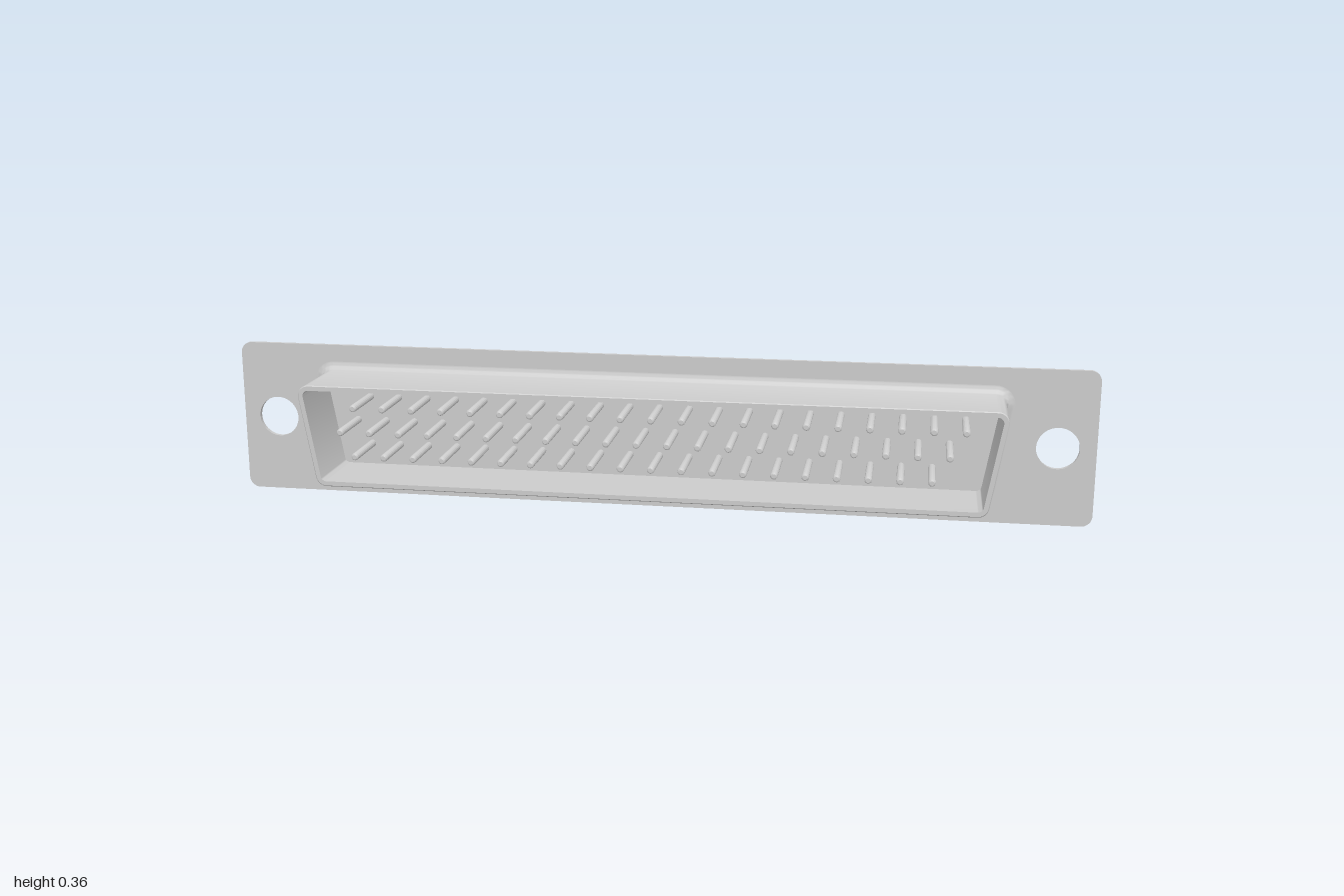
import * as THREE from 'three';
import { toCreasedNormals } from 'three/addons/utils/BufferGeometryUtils.js';

const metal = new THREE.MeshStandardMaterial({ color: 0xcccccc });

// Outline around four corner centres, rounded by r; counter-clockwise seen from the front.
function outline({ top, bottom, y0, y1 }, r, steps = 10) {
  const tilt = Math.atan2(top - bottom, y1 - y0);
  const H = Math.PI / 2;
  const corners = [
    [top, y1, -tilt, H], [-top, y1, H, Math.PI + tilt],
    [-bottom, y0, Math.PI + tilt, 3 * H], [bottom, y0, 3 * H, 4 * H - tilt],
  ];
  const points = [];
  for (const [x, y, a0, a1] of corners) {
    for (let i = 0; i <= steps; i++) {
      const a = a0 + (a1 - a0) * i / steps;
      points.push(new THREE.Vector2(x + r * Math.cos(a), y + r * Math.sin(a)));
    }
  }
  return points;
}

// Skin through outlines given as [corner radius, z].
function loft(frame, profile) {
  const rings = profile.map(([r, z]) => outline(frame, r).map((p) => [p.x, p.y, z]));
  const n = rings[0].length, index = [];
  for (let k = 0; k < rings.length - 1; k++) {
    for (let i = 0; i < n; i++) {
      const a = k * n + i, b = k * n + (i + 1) % n;
      index.push(a, b, b + n, a, b + n, a + n);
    }
  }
  const g = new THREE.BufferGeometry();
  g.setAttribute('position', new THREE.Float32BufferAttribute(rings.flat(2), 3));
  g.setIndex(index);
  return toCreasedNormals(g, 0.6);
}

function arc(cr, cz, radius, a0, a1, steps = 8) {
  return Array.from({ length: steps + 1 }, (_, i) => {
    const a = a0 + (a1 - a0) * i / steps;
    return [cr + radius * Math.cos(a), cz + radius * Math.sin(a)];
  });
}

function slab(shape, z0, z1) {
  const g = new THREE.ExtrudeGeometry(shape, { depth: z1 - z0, bevelEnabled: false, curveSegments: 32 });
  return toCreasedNormals(g.translate(0, 0, z0), 0.6);
}

export function createModel() {
  const model = new THREE.Group();
  const add = (name, geometry, parent = model) => {
    const mesh = new THREE.Mesh(geometry, metal);
    mesh.name = name;
    parent.add(mesh);
    return mesh;
  };
  const H = Math.PI / 2;

  // Mounting flange with two screw holes
  const plate = new THREE.Shape(outline({ top: 0.975, bottom: 0.975, y0: 0.025, y1: 0.335 }, 0.025));
  for (const side of [-1, 1]) {
    plate.holes.push(new THREE.Path().absarc(side * 0.915, 0.18, 0.048, 0, Math.PI * 2, true));
  }
  add('mountingFlange', slab(plate, 0.03, 0.04));

  // Front shell: tapered tube with a flared foot and a thin rim
  const shellFrame = { top: 0.772, bottom: 0.739, y0: 0.0875, y1: 0.275 };
  add('frontShell', loft(shellFrame, [
    ...arc(0.045, 0.06, 0.02, 3 * H, 2 * H), [0.025, 0.208], [0.023, 0.21],
    [0.013, 0.21], [0.013, 0.04],
  ]));
  add('pinInsulator', slab(new THREE.Shape(outline(shellFrame, 0.0135)), 0.035, 0.046));

  // Rear housing with rounded back edges
  const rearFrame = { top: 0.795, bottom: 0.795, y0: 0.065, y1: 0.30 };
  add('rearHousing', loft(rearFrame, [...arc(0, -0.055, 0.03, -H, 0), [0.03, 0.03]]));
  add('rearFace', new THREE.BoxGeometry(1.59, 0.235, 0.1).translate(0, 0.1825, -0.035));
  add('rearPanel', new THREE.BoxGeometry(1.57, 0.21, 0.015).translate(0, 0.18, -0.0875));

  // Three staggered rows of round-tipped pins
  const back = -0.207, front = 0.175, r = 0.0085;
  const pin = toCreasedNormals(new THREE.LatheGeometry([
    [0, back], [r * 0.6, back], [r * 0.9, back + 0.002], [r, back + 0.005],
    [r, front - 0.005], [r * 0.9, front - 0.002], [r * 0.6, front], [0, front],
  ].map(([x, y]) => new THREE.Vector2(x, y)), 16).rotateX(H), 0.9);
  const pins = new THREE.Group();
  pins.name = 'pins';
  model.add(pins);
  const pitch = 0.0695;
  for (const [count, x0, y] of [[21, -0.681, 0.24], [21, -0.714, 0.182], [20, -0.681, 0.125]]) {
    for (let i = 0; i < count; i++) add('pin', pin, pins).position.set(x0 + i * pitch, y, 0);
  }
  return model;
}
